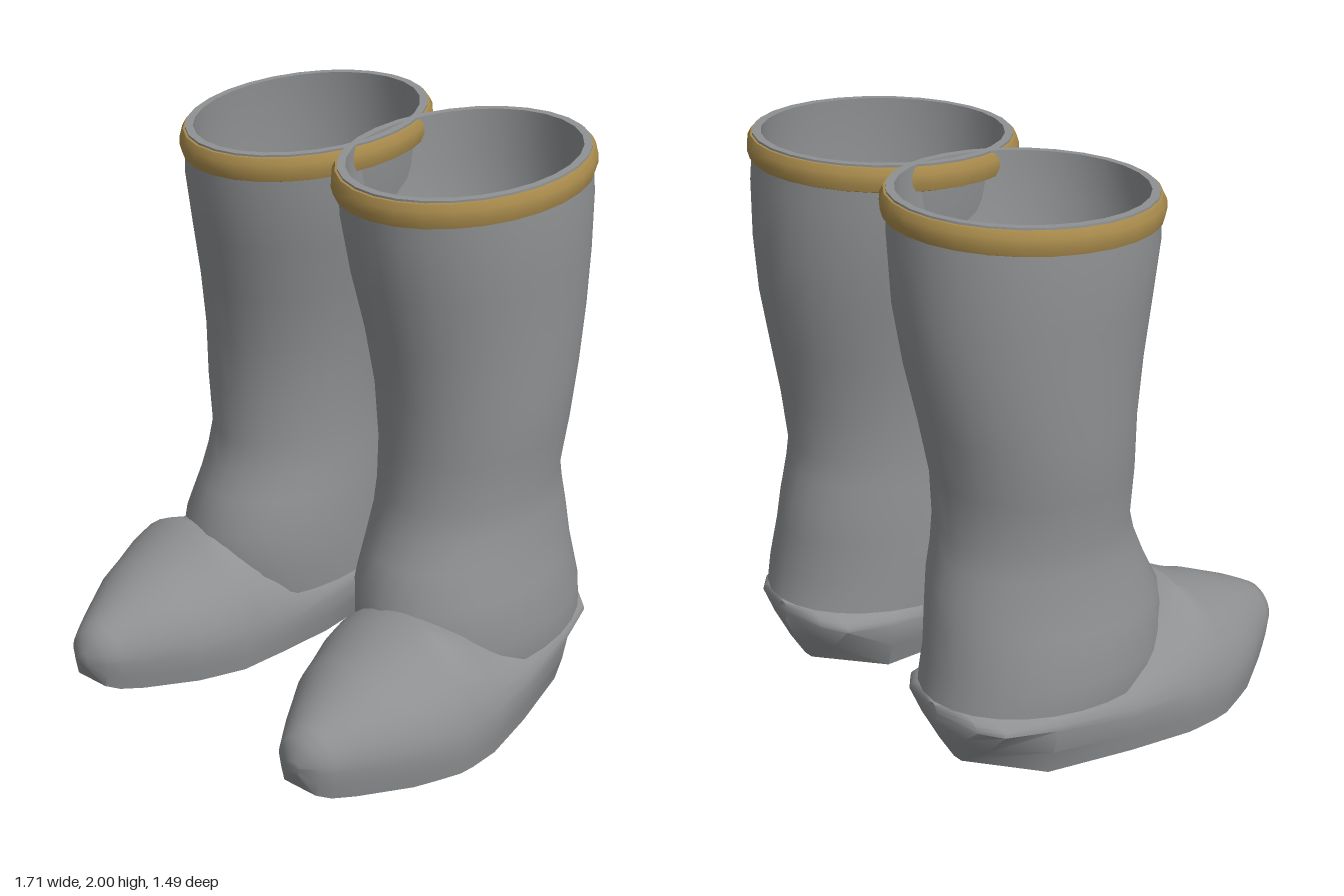
import * as THREE from 'three';
import { toCreasedNormals } from 'three/addons/utils/BufferGeometryUtils.js';

const grey = new THREE.MeshStandardMaterial({ color: 0x8f9193 });
grey.name = 'rubberGrey';
const tan = new THREE.MeshStandardMaterial({ color: 0xa98b4c });
tan.name = 'trimTan';

const SEGMENTS = 28;
const TILT = -0.083; // every shaft ring rises towards the back

// Skin between rings of points; side = -1 mirrors it across x = 0
function loft(rings, side, capped, crease) {
  const n = rings[0].length, pos = [], index = [];
  const face = (a, b, c) => (side > 0 ? index.push(a, b, c) : index.push(a, c, b));
  rings.flat().forEach(([x, y, z]) => pos.push(x * side, y, z));
  for (let i = 0; i < rings.length - 1; i++) {
    for (let j = 0; j < n; j++) {
      const k = (j + 1) % n, a = i * n, d = a + n;
      face(a + j, a + k, d + k);
      face(a + j, d + k, d + j);
    }
  }
  if (capped) {
    const last = (rings.length - 1) * n;
    for (let j = 1; j < n - 1; j++) {
      face(0, j + 1, j);
      face(last, last + j, last + j + 1);
    }
  }
  const geometry = new THREE.BufferGeometry();
  geometry.setAttribute('position', new THREE.Float32BufferAttribute(pos, 3));
  geometry.setIndex(index);
  return toCreasedNormals(geometry, crease);
}

// Tilted oval: height at centre, inner x, outer x, back z, front z, grown by an offset
function oval([y, x0, x1, z0, z1], grow = 0) {
  const cx = (x0 + x1) / 2, cz = (z0 + z1) / 2;
  return Array.from({ length: SEGMENTS }, (_, j) => {
    const a = (j / SEGMENTS) * Math.PI * 2;
    const dz = -Math.sin(a) * ((z1 - z0) / 2 + grow);
    return [cx + Math.cos(a) * ((x1 - x0) / 2 + grow), y + TILT * dz, cz + dz];
  });
}

// Foot slice: domed top, widest at height w, flat bottom at height low
function slice([z, x0, x1, top, w, low, bottom]) {
  const cx = (x0 + x1) / 2, hw = (x1 - x0) / 2, points = [];
  for (let j = 0; j <= 18; j++) {
    const a = (j / 18) * Math.PI;
    points.push([cx + hw * Math.cos(a), w + (top - w) * Math.sin(a), z]);
  }
  const mid = (1 + bottom) / 2 + 0.1 * (1 - bottom);
  for (const [u, v] of [[-mid, 0.5], [-bottom, 1], [-bottom / 3, 1], [bottom / 3, 1], [bottom, 1], [mid, 0.5]]) {
    points.push([cx + hw * u, w + (low - w) * v, z]);
  }
  return points;
}

const shaftRings = [
  [0.24, 0.10, 0.775, -0.732, 0.20],
  [0.34, 0.095, 0.785, -0.71, 0.215],
  [0.50, 0.097, 0.745, -0.69, 0.21],
  [0.62, 0.102, 0.722, -0.675, 0.15],
  [0.72, 0.108, 0.71, -0.65, 0.105],
  [0.82, 0.11, 0.70, -0.635, 0.08],
  [1.00, 0.105, 0.728, -0.645, 0.075],
  [1.20, 0.078, 0.74, -0.68, 0.08],
  [1.40, 0.045, 0.745, -0.72, 0.112],
  [1.60, 0.0, 0.755, -0.74, 0.152],
  [1.80, -0.03, 0.765, -0.74, 0.185],
  [1.96, -0.04, 0.755, -0.728, 0.187],
];

const footSlices = [
  [-0.732, 0.40, 0.45, 0.27, 0.235, 0.20, 0.5],
  [-0.69, 0.25, 0.61, 0.28, 0.22, 0.10, 0.1],
  [-0.63, 0.18, 0.68, 0.285, 0.21, 0.0, 0.08],
  [-0.45, 0.135, 0.74, 0.29, 0.19, 0.0, 0.84],
  [-0.15, 0.13, 0.81, 0.33, 0.15, 0.0, 0.92],
  [0.08, 0.15, 0.855, 0.43, 0.12, 0.0, 0.95],
  [0.20, 0.163, 0.855, 0.468, 0.11, 0.0, 0.96],
  [0.26, 0.167, 0.85, 0.435, 0.11, 0.0, 0.96],
  [0.35, 0.20, 0.82, 0.385, 0.11, 0.0, 0.95],
  [0.43, 0.23, 0.79, 0.355, 0.11, 0.0, 0.94],
  [0.60, 0.34, 0.685, 0.275, 0.11, 0.0, 0.9],
  [0.67, 0.39, 0.64, 0.235, 0.11, 0.005, 0.85],
  [0.71, 0.42, 0.61, 0.21, 0.115, 0.02, 0.75],
  [0.745, 0.49, 0.545, 0.14, 0.115, 0.09, 0.7],
];

// Trim profile: height, offset from the shaft rim
const trimProfile = [[1.865, -0.005], [1.872, 0.013], [1.90, 0.021], [1.93, 0.019], [1.952, 0.008], [1.954, -0.008]];

function makeBoot(side) {
  const boot = new THREE.Group();
  boot.name = side > 0 ? 'leftBoot' : 'rightBoot';
  const add = (name, geometry, material) => {
    const mesh = new THREE.Mesh(geometry, material);
    mesh.name = name;
    boot.add(mesh);
  };

  // Hollow shaft: outer wall up, rim, inner wall down, bottom edge
  const outer = shaftRings.map((r) => oval(r));
  const inner = shaftRings.map((r) => oval(r, -0.028)).reverse();
  add('shaft', loft([...outer, ...inner, outer[0]], side, false, 0.9), grey);

  // Foot with pointed heel and toe
  add('foot', loft(footSlices.map(slice), side, true, 0.7), grey);

  // Rounded band around the top edge
  const rim = shaftRings[shaftRings.length - 1].slice(1);
  add('topTrim', loft(trimProfile.map(([y, e]) => oval([y, ...rim], e)), side, false, 0.8), tan);
  return boot;
}

export function createModel() {
  const model = new THREE.Group();
  model.name = 'boots';
  model.add(makeBoot(1), makeBoot(-1));
  return model;
}
